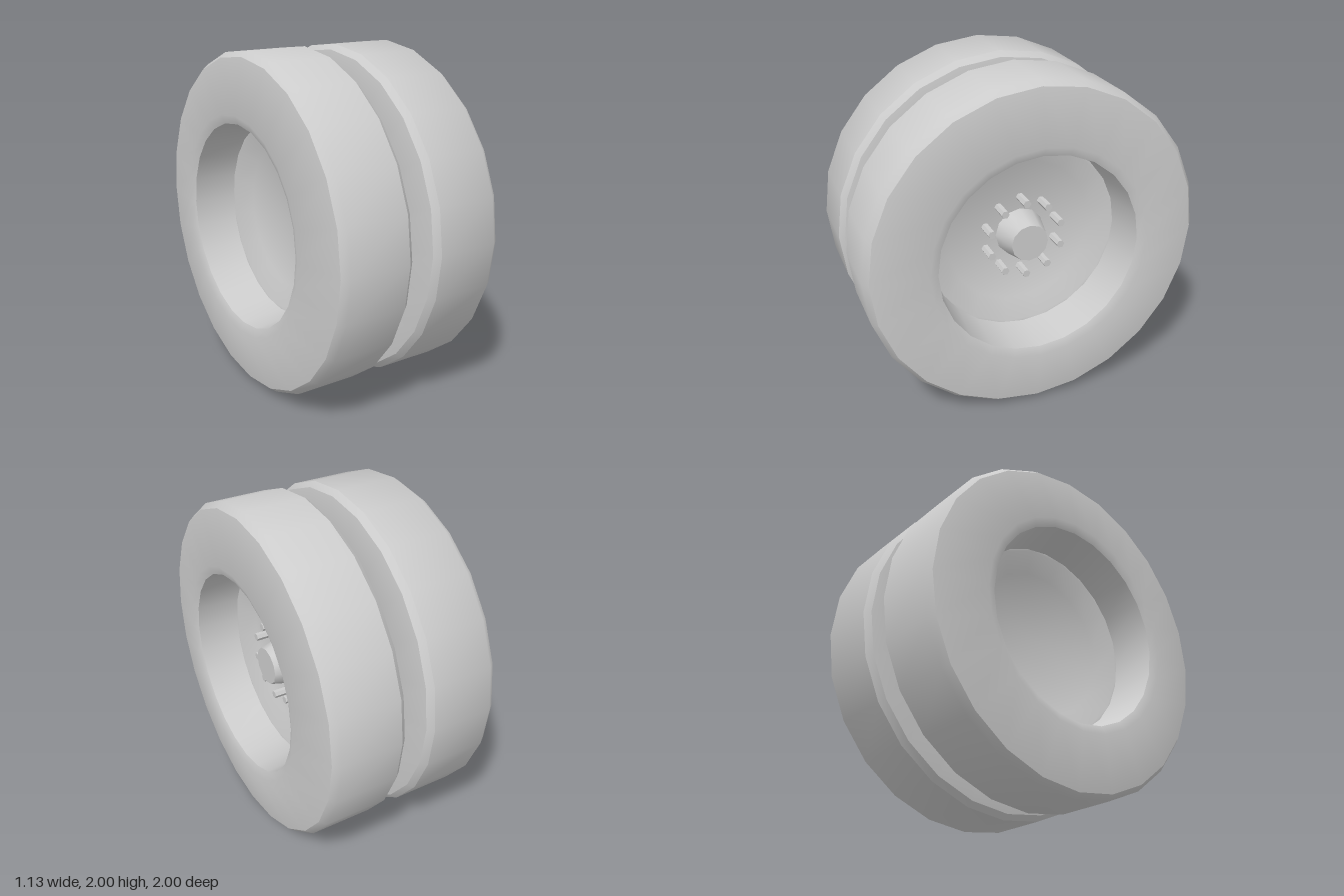
import * as THREE from 'three';
import { toCreasedNormals } from 'three/addons/utils/BufferGeometryUtils.js';

const material = new THREE.MeshStandardMaterial({ color: 0xcccccc });

// Solid of revolution about the x axis from [x, radius] points.
function revolve(name, points, sides, phiStart = 0) {
  const profile = points.map(([x, r]) => new THREE.Vector2(r, x));
  const geometry = new THREE.LatheGeometry(profile, sides, phiStart);
  geometry.rotateZ(-Math.PI / 2);
  const mesh = new THREE.Mesh(toCreasedNormals(geometry, 0.7), material);
  mesh.name = name;
  return mesh;
}

// One wheel lying between x = 0 and x = 0.565, dished side facing +x.
function createWheel(name) {
  const wheel = new THREE.Group();
  wheel.name = name;
  const half = Math.PI / 16;

  // Tyre: inner sidewall, tread, outer sidewall, then the deep bore.
  wheel.add(revolve('tire', [
    [0.045, 0.6], [0.02, 0.65], [0.07, 0.97], [0.105, 1],
    [0.475, 1], [0.515, 0.97], [0.565, 0.65], [0.545, 0.6], [0.29, 0.575],
  ], 24));

  // Sloped rim shoulder and flat disc at the bottom of the dish.
  wheel.add(revolve('rimDish', [
    [0.29, 0.6], [0.29, 0.569], [0.22, 0.448], [0.22, 0],
  ], 16, half));

  // Back of the rim, meeting the other wheel in the middle.
  wheel.add(revolve('rimBack', [[0, 0], [0, 0.448], [0.05, 0.61]], 16, half));
  return wheel;
}

// Tapered hub with a ring of ten hexagonal studs.
function createHub() {
  const hub = new THREE.Group();
  hub.name = 'hub';
  hub.add(revolve('hubCap', [[0.21, 0.152], [0.38, 0.112], [0.38, 0]], 12));

  const studGeometry = new THREE.CylinderGeometry(0.024, 0.024, 0.125, 6)
    .rotateZ(-Math.PI / 2).toNonIndexed();
  studGeometry.computeVertexNormals();
  for (let i = 0; i < 10; i++) {
    const angle = (i / 10) * Math.PI * 2;
    const stud = new THREE.Mesh(studGeometry, material);
    stud.name = 'wheelStud';
    stud.position.set(0.2725, 0.225 * Math.cos(angle), 0.225 * Math.sin(angle));
    hub.add(stud);
  }
  return hub;
}

export function createModel() {
  const model = new THREE.Group();
  model.name = 'dualWheel';

  const outer = createWheel('outerWheel');
  outer.add(createHub());
  const inner = createWheel('innerWheel');
  inner.rotation.y = Math.PI;

  for (const wheel of [outer, inner]) {
    wheel.position.y = 1;
    model.add(wheel);
  }
  return model;
}
